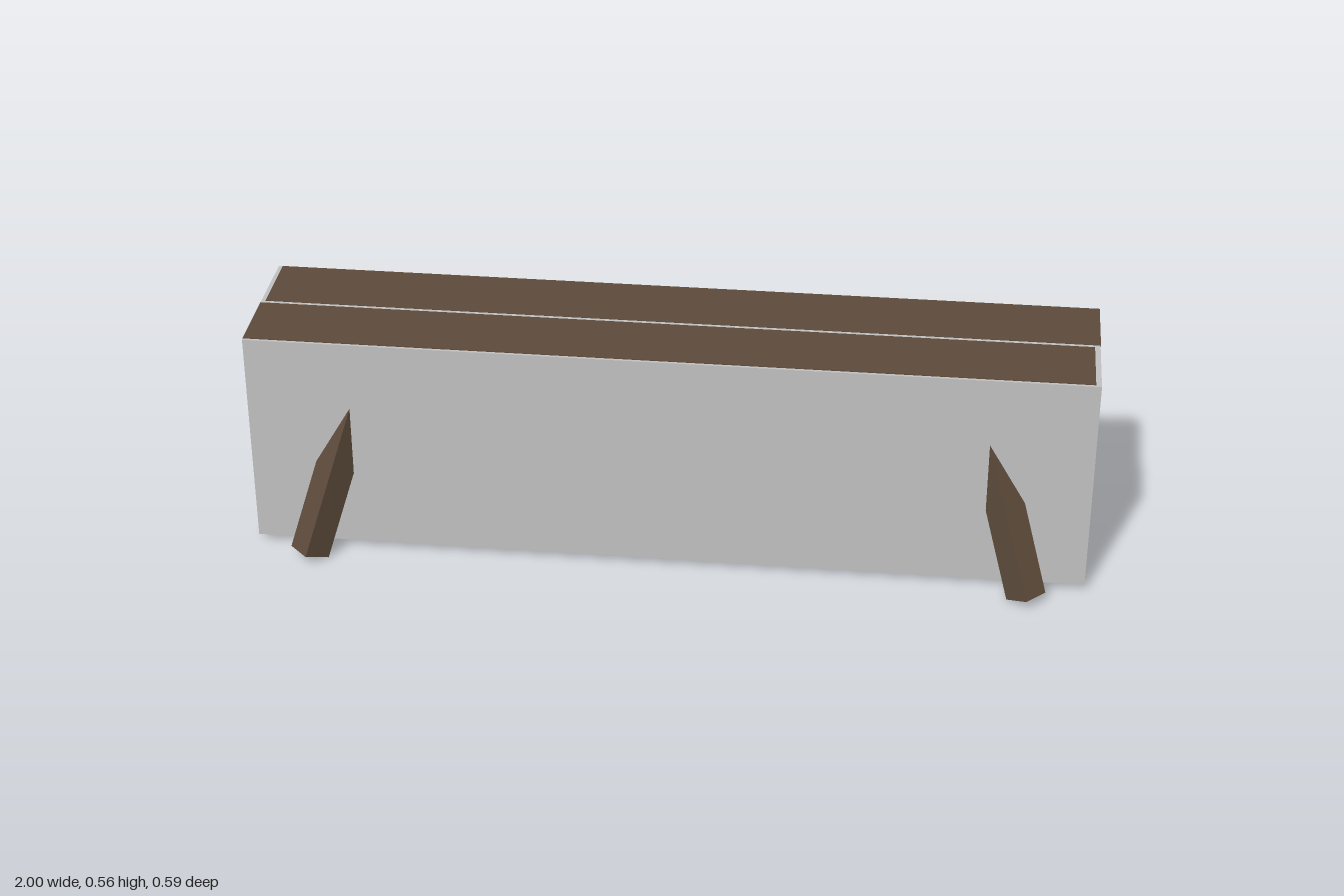
import * as THREE from 'three';

export function createModel() {
  const model = new THREE.Group();
  const grey = new THREE.MeshStandardMaterial({ color: 0xc2c2c2 });
  grey.name = 'palePaint';
  const wood = new THREE.MeshStandardMaterial({ color: 0x5d4b3b });
  wood.name = 'darkWood';

  // Box given by its minimum and maximum corners
  function block(name, min, max, material) {
    const [w, h, d] = max.map((v, i) => v - min[i]);
    const mesh = new THREE.Mesh(new THREE.BoxGeometry(w, h, d), material);
    mesh.position.set(...max.map((v, i) => (v + min[i]) / 2));
    mesh.name = name;
    model.add(mesh);
  }

  // Solid body with two thin planks on its top
  block('body', [-1, 0.015, -0.188], [0.998, 0.556, 0.188], grey);
  block('backPlank', [-0.99, 0.552, -0.187], [0.999, 0.557, -0.007], wood);
  block('frontPlank', [-1, 0.552, 0.005], [0.985, 0.558, 0.181], wood);

  // Four square legs splayed diagonally out of the corners
  const length = 0.45;
  const lean = THREE.MathUtils.degToRad(22.7);
  for (const sx of [-1, 1]) {
    for (const sz of [-1, 1]) {
      const geometry = new THREE.BoxGeometry(0.0636, length, 0.069);
      geometry.translate(0, length / 2, 0);
      geometry.rotateX(-lean);
      geometry.rotateY(Math.atan2(sx, sz));
      const leg = new THREE.Mesh(geometry, wood);
      leg.position.set(sx * 0.86, 0.0133, sz * 0.249);
      leg.name = (sz > 0 ? 'front' : 'back') + (sx > 0 ? 'Left' : 'Right') + 'Leg';
      model.add(leg);
    }
  }
  return model;
}
